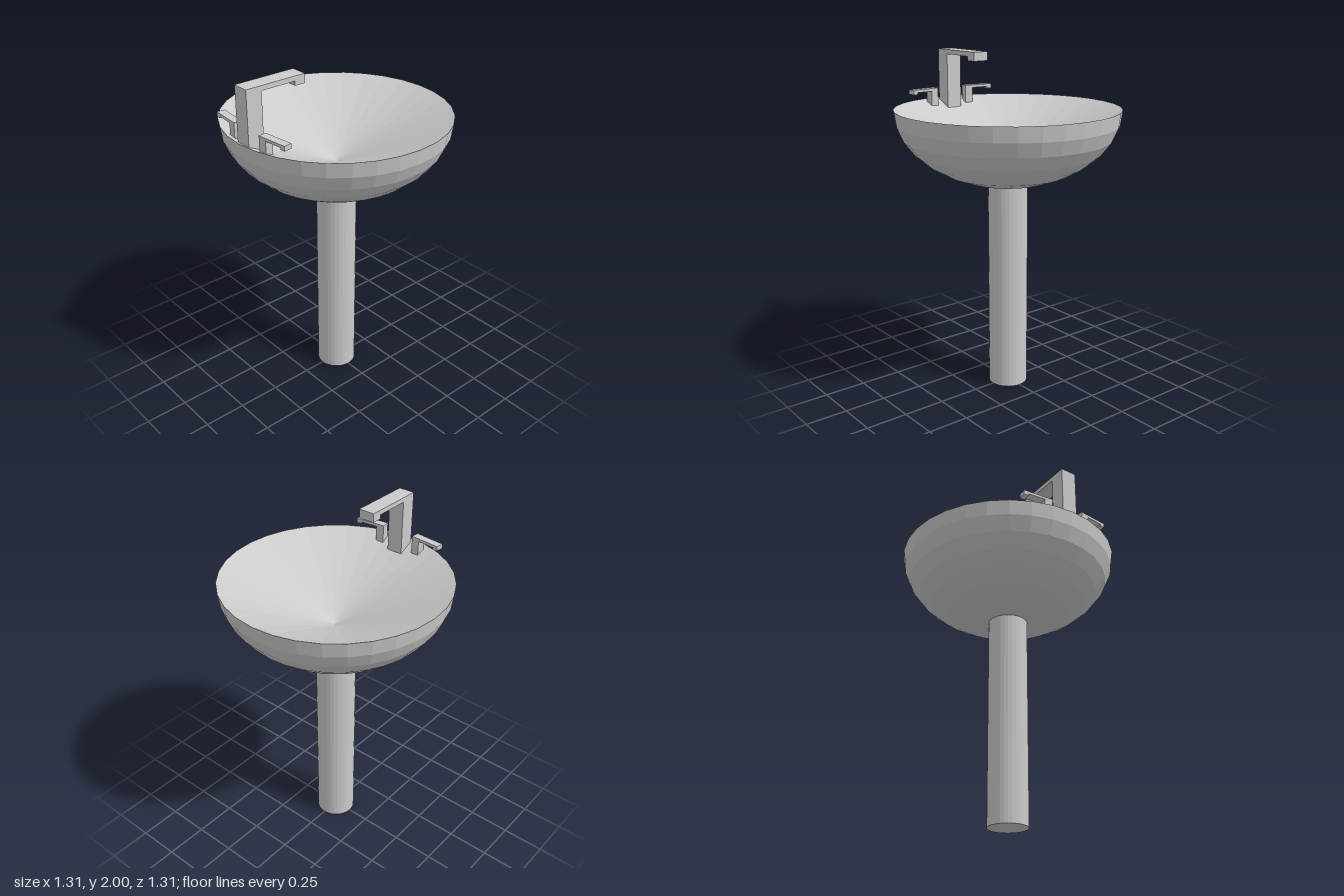
import * as THREE from 'three';

const SIDES = 32;
const RIM_Y = 1.70, RIM_R = 0.655, BOWL_DEPTH = 0.45, BASIN_DEPTH = 0.30;

const material = new THREE.MeshStandardMaterial({ color: 0xcccccc, flatShading: true });

function addMesh(parent, name, geometry) {
  const mesh = new THREE.Mesh(geometry, material);
  mesh.name = name;
  parent.add(mesh);
  return mesh;
}

// Hooked bar: a post, an arm along +x and a short drop at the arm's end
function hookGeometry({ base, top, post, reach, arm, drop, tip, width }) {
  const shape = new THREE.Shape([
    [0, base], [post, base], [post, top - arm], [reach - tip, top - arm],
    [reach - tip, top - drop], [reach, top - drop], [reach, top], [0, top],
  ].map(([x, y]) => new THREE.Vector2(x, y)));
  const geometry = new THREE.ExtrudeGeometry(shape, { depth: width, bevelEnabled: false });
  return geometry.translate(0, 0, -width / 2);
}

export function createModel() {
  const model = new THREE.Group();
  model.name = 'pedestalSink';

  // Pedestal column
  const column = addMesh(model, 'column', new THREE.CylinderGeometry(0.117, 0.117, 1.26, SIDES));
  column.position.y = 0.63;

  // Bowl: half ellipsoid outside, shallow cone inside
  const profile = [];
  for (let i = 8; i >= 0; i--) {
    const a = (i / 8) * Math.PI / 2;
    const r = i === 8 ? 0 : RIM_R * Math.cos(a);
    profile.push(new THREE.Vector2(r, RIM_Y - BOWL_DEPTH * Math.sin(a)));
  }
  profile.push(new THREE.Vector2(0, RIM_Y - BASIN_DEPTH));
  addMesh(model, 'bowl', new THREE.LatheGeometry(profile, SIDES));

  // Faucet at the front edge, reaching back over the basin
  const faucet = addMesh(model, 'faucet', hookGeometry({
    base: 1.63, top: 2.0, post: 0.095, reach: 0.372, arm: 0.028, drop: 0.053, tip: 0.065, width: 0.098,
  }));
  faucet.rotation.y = Math.PI / 2;
  faucet.position.z = 0.63;

  // Lever handles, one on each side, swept slightly backwards
  const handle = hookGeometry({
    base: 1.64, top: 1.77, post: 0.05, reach: 0.187, arm: 0.017, drop: 0.028, tip: 0.03, width: 0.048,
  });
  const sweep = 0.1;
  const left = addMesh(model, 'leftHandle', handle);
  left.rotation.y = sweep;
  left.position.set(0.106, 0, 0.584);
  const right = addMesh(model, 'rightHandle', handle);
  right.rotation.y = Math.PI - sweep;
  right.position.set(-0.106, 0, 0.584);

  return model;
}
